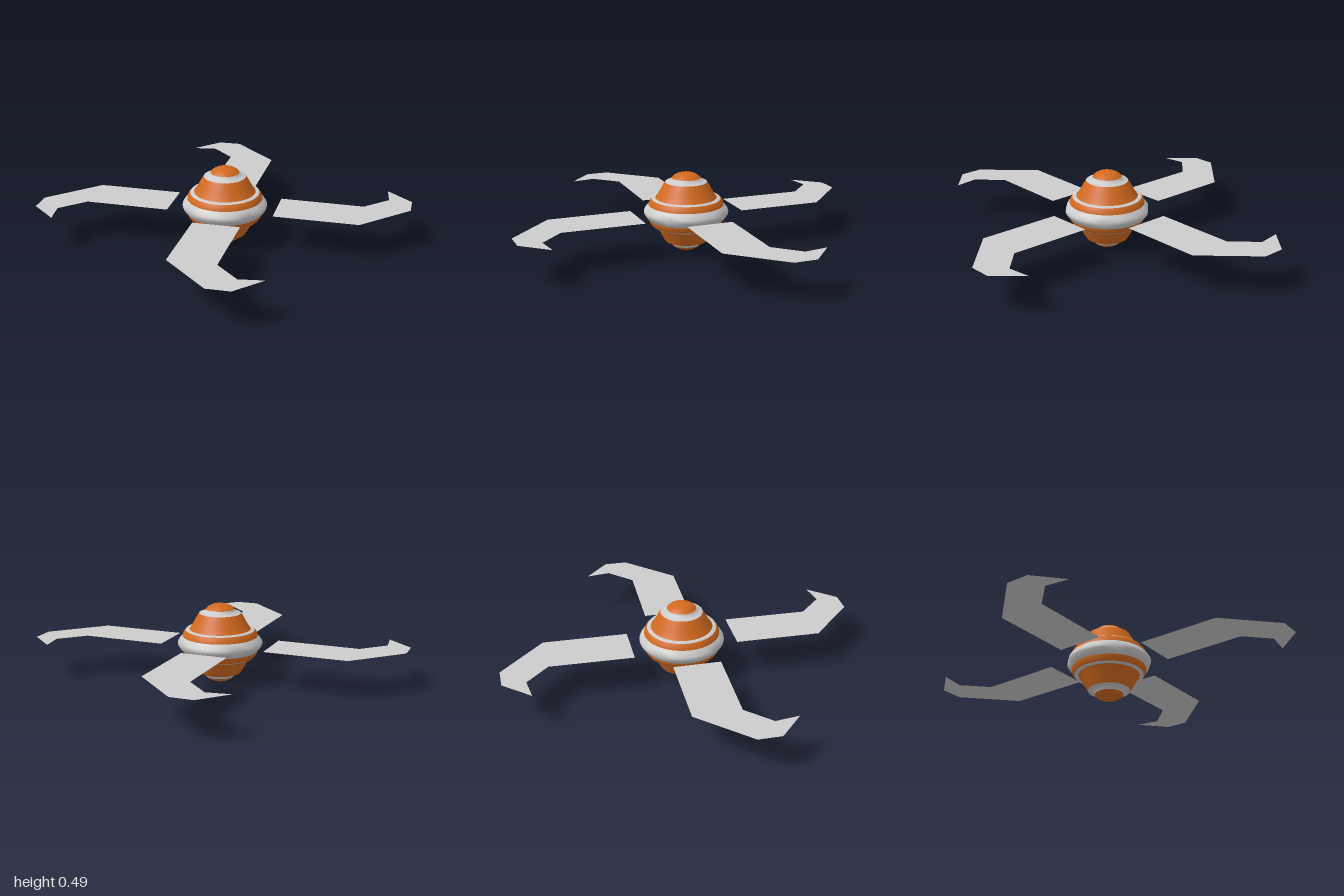
import * as THREE from 'three';

const MID = 0.243; // height of the mirror plane and of the blades
const ORANGE = 0xd2691e, GREY = 0xcccccc;

const material = (color) => new THREE.MeshStandardMaterial({ color, side: THREE.DoubleSide });

// Turned band; heights are measured from the mid plane, listed from low to high
function band(name, color, profile, flip = 1) {
  const pts = profile.map(([r, h]) => new THREE.Vector2(r, MID + flip * h));
  if (flip < 0) pts.reverse();
  const mesh = new THREE.Mesh(new THREE.LatheGeometry(pts, 48), material(color));
  mesh.name = name;
  return mesh;
}

function createBlade(index) {
  const outline = [
    [0.14, 0.313], [0.345, 0.11], [0.70, 0.48], [0.90, 0.48],
    [0.99, 0.362], [1.0, 0.58], [0.90, 0.68], [0.50, 0.685],
  ];
  const shape = new THREE.Shape(outline.map(([x, z]) => new THREE.Vector2(x, -z)));
  const geometry = new THREE.ShapeGeometry(shape).rotateX(-Math.PI / 2);
  const blade = new THREE.Mesh(geometry, material(GREY));
  blade.name = 'blade' + (index + 1);
  blade.position.y = MID;
  blade.rotation.y = index * Math.PI / 2;
  return blade;
}

export function createModel() {
  const model = new THREE.Group();
  model.name = 'bladedSpinner';

  // Equator ring, trimmed slightly flat on its four sides
  const ring = band('equatorRing', GREY, [
    [0.228, -0.047], [0.245, -0.03], [0.257, -0.012], [0.26, 0],
    [0.257, 0.012], [0.245, 0.03], [0.228, 0.047],
  ]);
  const p = ring.geometry.attributes.position;
  for (let i = 0; i < p.count; i++) {
    p.setX(i, THREE.MathUtils.clamp(p.getX(i), -0.25, 0.25));
    p.setZ(i, THREE.MathUtils.clamp(p.getZ(i), -0.25, 0.25));
  }
  ring.geometry.computeVertexNormals();
  model.add(ring);

  // Matching upper and lower halves of the body
  for (const [side, flip] of [['upper', 1], ['lower', -1]]) {
    const half = new THREE.Group();
    half.name = side + 'Body';
    half.add(
      band('collar', ORANGE, [[0.23, 0.045], [0.225, 0.065], [0.212, 0.082]], flip),
      band('shoulderRing', GREY, [[0.212, 0.082], [0.205, 0.088], [0.188, 0.088]], flip),
      band('cone', ORANGE, [
        [0.188, 0.086], [0.178, 0.1], [0.163, 0.125], [0.147, 0.155], [0.128, 0.186],
      ], flip),
      band('capSeat', GREY, [[0.128, 0.186], [0.118, 0.19], [0.095, 0.194], [0.086, 0.212]], flip),
      band('cap', ORANGE, [
        [0.088, 0.211], [0.075, 0.224], [0.055, 0.235], [0.03, 0.242], [0, 0.244],
      ], flip),
    );
    model.add(half);
  }

  // Four hooked blades around the body
  for (let i = 0; i < 4; i++) model.add(createBlade(i));
  return model;
}
